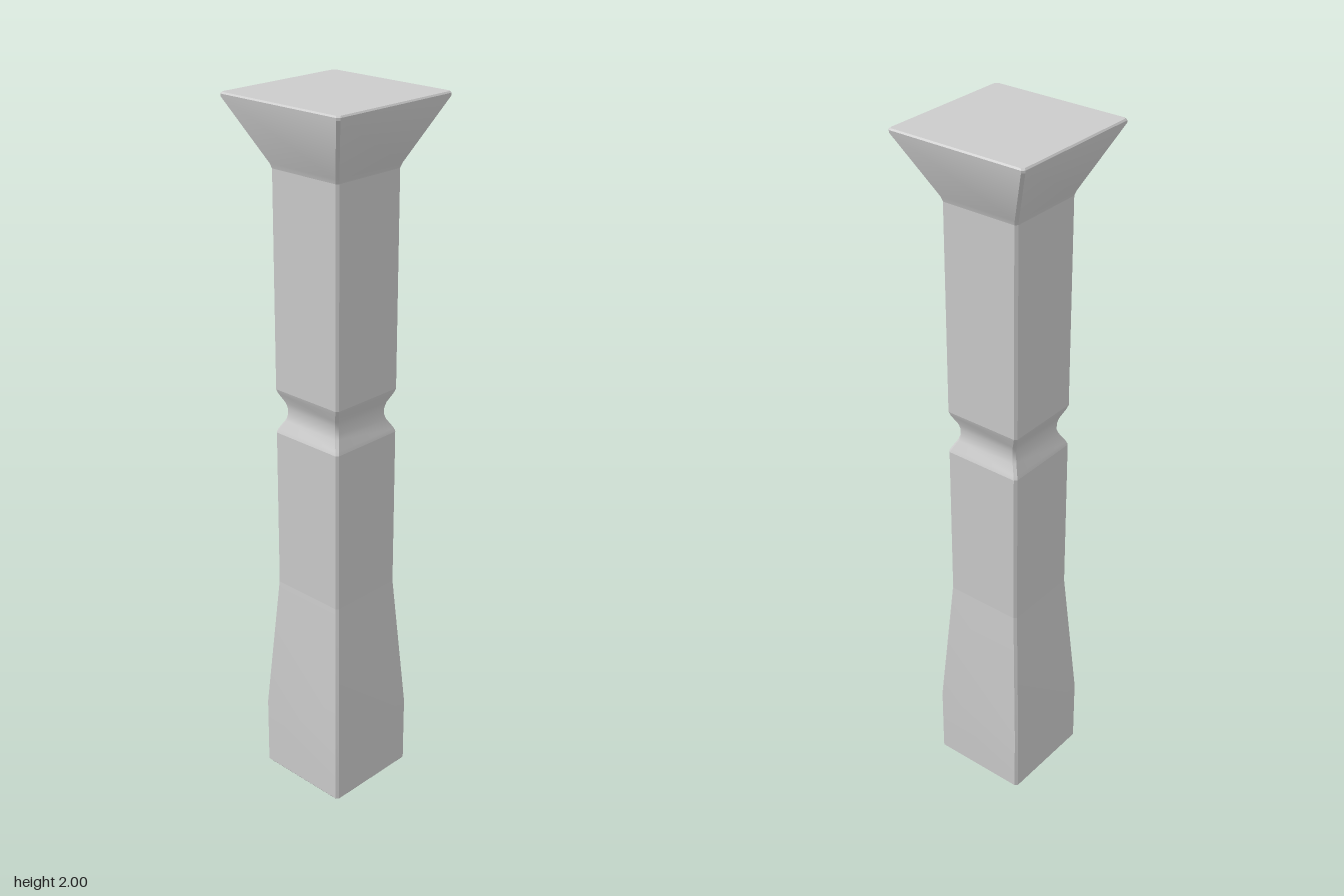
import * as THREE from 'three';
import { toCreasedNormals } from 'three/addons/utils/BufferGeometryUtils.js';

// Square cross-section with bevelled corners, h = half width, b = bevel
function ring(h, y, b) {
  const k = h - b;
  return [[h, -k], [h, k], [k, h], [-k, h], [-h, k], [-h, -k], [-k, -h], [k, -h]]
    .map(([x, z]) => [x, y, z]);
}

// Stack bevelled squares along a profile of [half width, height, bevel]
function loft(profile, { bottom = false, top = false } = {}) {
  const rings = profile.map(([h, y, b = 0.007]) => ring(h, y, b));
  const pos = [];
  const tri = (...corners) => corners.forEach((c) => pos.push(...c));
  const last = rings.length - 1;
  for (let j = 0; j < 8; j++) {
    const n = (j + 1) % 8;
    for (let i = 0; i < last; i++) {
      tri(rings[i][j], rings[i + 1][j], rings[i + 1][n]);
      tri(rings[i][j], rings[i + 1][n], rings[i][n]);
    }
    if (bottom) tri([0, profile[0][1], 0], rings[0][j], rings[0][n]);
    if (top) tri([0, profile[last][1], 0], rings[last][n], rings[last][j]);
  }
  const geometry = new THREE.BufferGeometry();
  geometry.setAttribute('position', new THREE.Float32BufferAttribute(pos, 3));
  return toCreasedNormals(geometry, 0.5);
}

export function createModel() {
  const group = new THREE.Group();
  const stone = new THREE.MeshStandardMaterial({ color: 0xcccccc });
  const add = (name, profile, caps) => {
    const mesh = new THREE.Mesh(loft(profile, caps), stone);
    mesh.name = name;
    group.add(mesh);
  };

  // Plinth with a tapering foot
  add('base', [[0.141, 0], [0.146, 0.006], [0.146, 0.21], [0.117, 0.62]], { bottom: true });

  // Straight lower shaft
  add('lowerShaft', [[0.117, 0.62], [0.117, 1.085]]);

  // Pinched groove around the middle
  add('neck', [
    [0.117, 1.085], [0.113, 1.095], [0.099, 1.12], [0.095, 1.135], [0.095, 1.155],
    [0.099, 1.172], [0.113, 1.2], [0.117, 1.212],
  ]);

  // Straight upper shaft
  add('upperShaft', [[0.117, 1.212], [0.117, 1.81]]);

  // Flared capital with a flat top
  add('capital', [[0.117, 1.81], [0.121, 1.823], [0.204, 1.99], [0.204, 1.996], [0.2, 2]], { top: true });

  return group;
}
